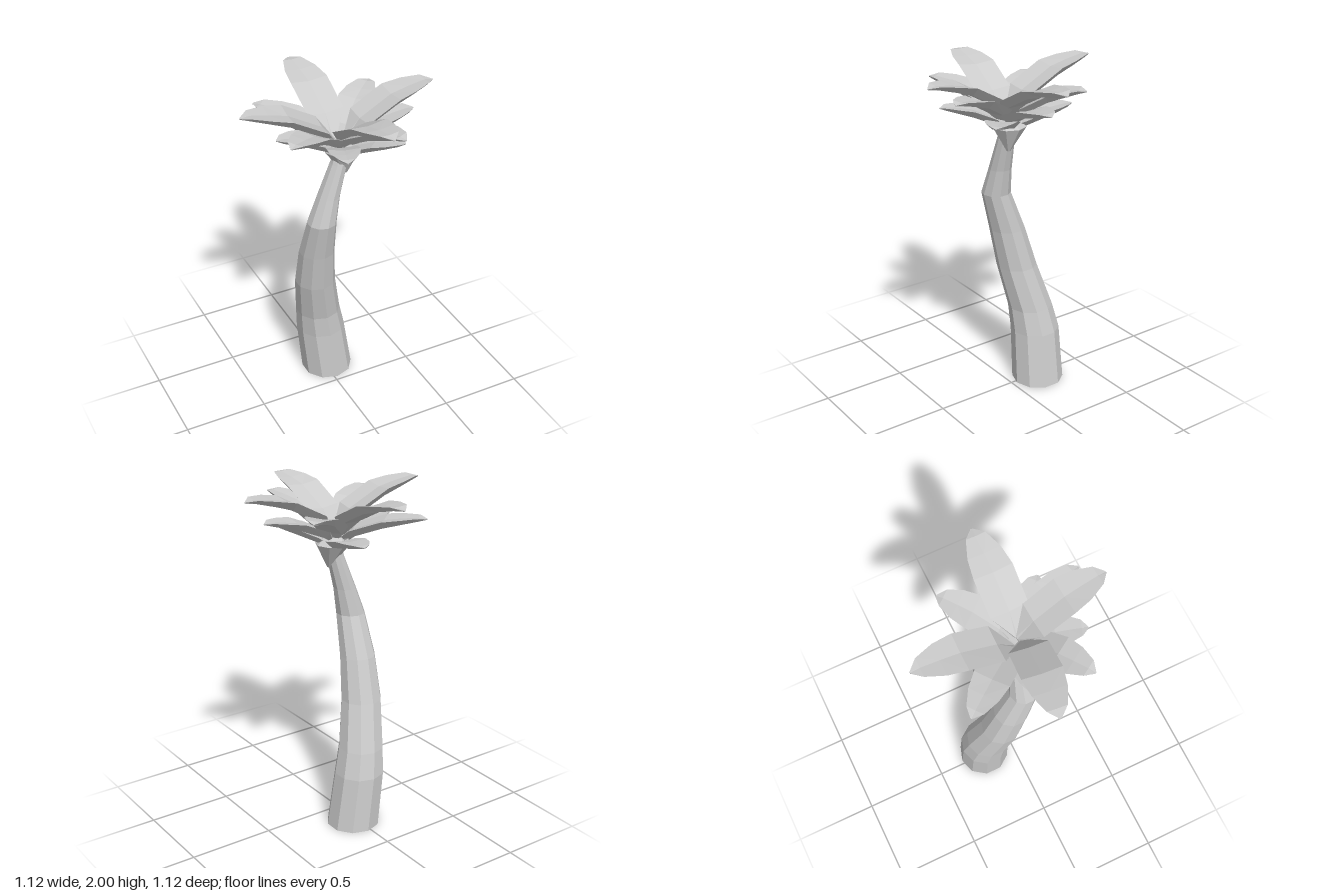
import * as THREE from 'three';

const material = new THREE.MeshStandardMaterial({ color: 0xcccccc, flatShading: true });

// Skin a list of rings (counter-clockwise seen from the far end) and cap both ends.
function loft(rings, name) {
  const n = rings[0].length, last = rings.length - 1;
  const pos = [], tri = (a, b, c) => [a, b, c].forEach(p => pos.push(p.x, p.y, p.z));
  for (let i = 0; i < last; i++) {
    for (let j = 0; j < n; j++) {
      const k = (j + 1) % n;
      const a = rings[i][j], b = rings[i][k], c = rings[i + 1][k], d = rings[i + 1][j];
      tri(a, b, c);
      tri(a, c, d);
    }
  }
  for (let j = 1; j < n - 1; j++) {
    tri(rings[0][0], rings[0][j + 1], rings[0][j]);
    tri(rings[last][0], rings[last][j], rings[last][j + 1]);
  }
  const geo = new THREE.BufferGeometry();
  geo.setAttribute('position', new THREE.Float32BufferAttribute(pos, 3));
  geo.computeVertexNormals();
  const mesh = new THREE.Mesh(geo, material);
  mesh.name = name;
  return mesh;
}

// Horizontal polygon ring with one corner towards the front.
function ring([x, y, z, r], sides) {
  return Array.from({ length: sides }, (_, i) => {
    const a = -Math.PI / 2 + i * Math.PI * 2 / sides;
    return new THREE.Vector3(x + r * Math.cos(a), y, z - r * Math.sin(a));
  });
}

// Leaf from the crown centre to a tip: rises steeply, then levels out.
// Each station: distance, rise, half width, thickness (all as fractions).
const stations = [
  [0.02, 0.00, 0.12, 0.5],
  [0.20, 0.52, 0.98, 0.9],
  [0.54, 0.92, 1.00, 0.9],
  [0.73, 1.00, 0.85, 0.65],
  [0.91, 1.05, 0.50, 0.4],
  [1.00, 1.00, 0.05, 0.1],
];
// Broad keel below, shallow groove along the top.
const section = [[1, 0], [0, -0.25], [-1, 0], [-0.6, -1], [0.6, -1]];

function leaf(root, tip, width, thick, name) {
  const flat = new THREE.Vector3(tip.x - root.x, 0, tip.z - root.z);
  const length = flat.length(), dir = flat.normalize();
  const up = new THREE.Vector3(0, 1, 0), side = up.clone().cross(dir);
  const rings = stations.map(([s, h, w, t]) => section.map(([u, v]) => root.clone()
    .addScaledVector(dir, s * length)
    .addScaledVector(up, h * (tip.y - root.y) + v * thick * t)
    .addScaledVector(side, u * width * w)));
  return loft(rings, name);
}

export function createModel() {
  const model = new THREE.Group();
  model.name = 'palmTree';

  // Curved, tapering trunk: x, y, z, radius
  const trunk = [
    [0.02, 0, -0.185, 0.156],
    [-0.02, 0.33, -0.19, 0.147],
    [-0.045, 0.48, -0.172, 0.134],
    [-0.093, 0.75, -0.105, 0.12],
    [-0.108, 1.0, -0.045, 0.105],
    [-0.11, 1.24, 0.03, 0.085],
    [-0.068, 1.4, 0.03, 0.066],
    [-0.005, 1.6, 0.033, 0.05],
    [0.01, 1.68, 0.033, 0.04],
  ];
  model.add(loft(trunk.map(r => ring(r, 10)), 'trunk'));

  // Flared crown base, leaning out to one side of the trunk
  const crownBase = [
    [0.03, 1.535, 0.042, 0.012],
    [0.015, 1.675, 0.028, 0.1],
    [0.0, 1.72, 0.03, 0.07],
  ];
  model.add(loft(crownBase.map(r => ring(r, 8)), 'crownBase'));

  // Three tiers of leaves; each leaf is root x, root z, then tip x, y, z
  const tiers = [
    { name: 'topLeaf', y: 1.73, width: 0.11, thick: 0.055, leaves: [
      [0, 0.05, 0.56, 1.985, 0.05], [0, 0.06, -0.56, 1.985, 0],
      [0, 0.03, 0.04, 1.985, 0.56], [-0.025, 0.03, -0.025, 1.985, -0.56]] },
    { name: 'middleLeaf', y: 1.69, width: 0.1, thick: 0.05, leaves: [
      [0, 0.03, 0.16, 1.91, 0.47], [0, 0.03, -0.4, 1.905, 0.28],
      [0, 0.03, -0.33, 1.85, -0.375], [0, 0.03, 0.335, 1.9, -0.26],
      [0, 0.03, 0.44, 1.845, 0.06]] },
    { name: 'lowerLeaf', y: 1.665, width: 0.09, thick: 0.045, leaves: [
      [0, 0.03, -0.13, 1.805, 0.385], [0, 0.03, 0.265, 1.775, 0.29],
      [0, 0.03, 0.08, 1.755, -0.36], [0, 0.03, -0.36, 1.805, 0]] },
  ];
  for (const { name, y, width, thick, leaves } of tiers) {
    const tier = new THREE.Group();
    tier.name = name + 'Tier';
    for (const [rx, rz, ...tip] of leaves) {
      tier.add(leaf(new THREE.Vector3(rx, y, rz), new THREE.Vector3(...tip), width, thick, name));
    }
    model.add(tier);
  }
  return model;
}
